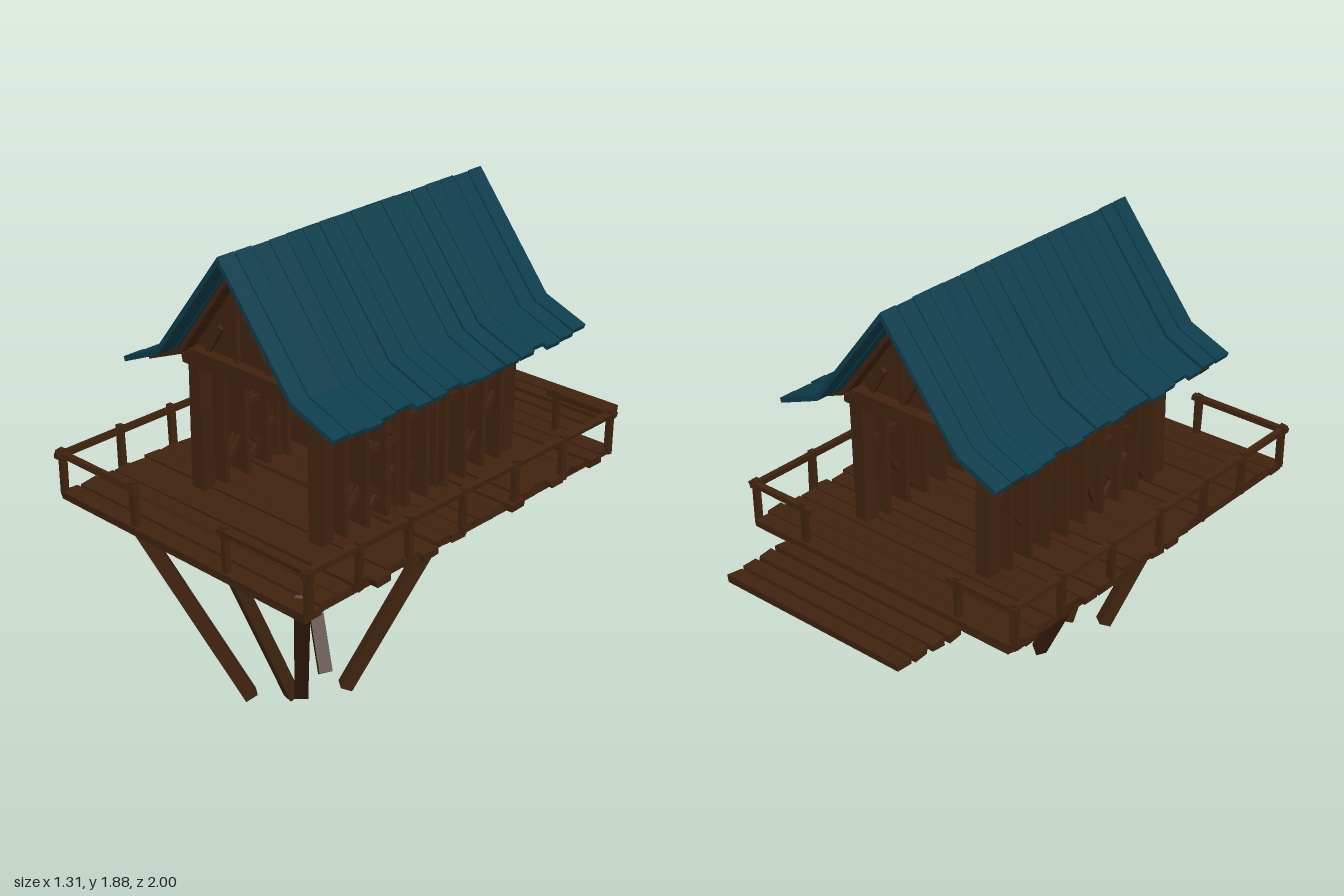
import * as THREE from 'three';

export function createModel() {
  const root = new THREE.Group();
  root.name = 'stiltHut';
  const wood = new THREE.MeshStandardMaterial({ color: 0x40230f });
  wood.name = 'dark brown wood';
  const roofPaint = new THREE.MeshStandardMaterial({ color: 0x0e3d4c });
  roofPaint.name = 'deep teal roof';

  // Seeded wobble for hand-cut boards
  let seed = 11;
  const rnd = (a) => {
    seed = (seed * 16807) % 2147483647;
    return (seed / 2147483647 * 2 - 1) * a;
  };

  const group = (name) => {
    const g = new THREE.Group();
    g.name = name;
    root.add(g);
    return g;
  };

  // Square-cut timber running from a to b; w is across, t is the other thickness
  function beam(parent, name, a, b, w, t, wobble = 0.003) {
    const A = new THREE.Vector3(...a), B = new THREE.Vector3(...b);
    const dir = B.clone().sub(A), len = dir.length();
    dir.normalize();
    const geo = new THREE.BoxGeometry(w, t, len);
    const offsets = Array.from({ length: 8 }, () => [rnd(wobble), rnd(wobble), rnd(wobble)]);
    const p = geo.attributes.position;
    for (let i = 0; i < p.count; i++) {
      const k = (p.getX(i) > 0 ? 1 : 0) + (p.getY(i) > 0 ? 2 : 0) + (p.getZ(i) > 0 ? 4 : 0);
      const o = offsets[k];
      p.setXYZ(i, p.getX(i) + o[0], p.getY(i) + o[1], p.getZ(i) + o[2]);
    }
    geo.computeVertexNormals();
    const m = new THREE.Mesh(geo, wood);
    m.name = name;
    m.position.copy(A).add(B).multiplyScalar(0.5);
    const up = Math.abs(dir.y) > 0.99 ? new THREE.Vector3(0, 0, 1) : new THREE.Vector3(0, 1, 0);
    const xAxis = up.cross(dir).normalize();
    const yAxis = dir.clone().cross(xAxis);
    m.quaternion.setFromRotationMatrix(new THREE.Matrix4().makeBasis(xAxis, yAxis, dir));
    parent.add(m);
    return m;
  }

  // Deck boards, edge joists and the lower step boards behind
  const deck = group('deck');
  for (let i = 0; i < 21; i++) {
    const z = 0.952 - i * 0.0796, y = 0.864 + rnd(0.005);
    beam(deck, 'deckBoard', [-0.63 + rnd(0.015), y, z], [0.635 + rnd(0.018), y + rnd(0.004), z], 0.073, 0.03, 0.004);
  }
  for (const x of [-0.58, -0.3, 0.05, 0.33, 0.57])
    beam(deck, 'joist', [x, 0.84, 0.96], [x, 0.84, -0.64], 0.06, 0.022);
  for (const z of [-0.725, -0.805, -0.885, -0.965])
    beam(deck, 'stepBoard', [-0.42 + rnd(0.008), 0.866, z + rnd(0.004)], [0.43 + rnd(0.01), 0.866, z + rnd(0.006)], 0.064, 0.03, 0.004);

  // Splayed stilts
  const stilts = group('stilts');
  const legs = [
    [[-0.47, 0.86, 0.0], [0.02, 0.04, 0.29]],
    [[-0.30, 0.86, 0.93], [-0.07, 0.05, 0.60]],
    [[-0.026, 0.86, 0.80], [0.055, 0.06, 0.50]],
    [[0.365, 0.86, -0.14], [0.12, 0.02, 0.28]],
    [[0.545, 0.86, 0.92], [0.09, 0.08, 0.49]],
  ];
  for (const [a, b] of legs) beam(stilts, 'stilt', a, b, 0.05, 0.05);

  // Railings: full length on the sides, short returns at front and back
  const railing = group('railing');
  const railPost = (x, z) => beam(railing, 'railPost', [x, 0.86, z], [x + rnd(0.004), 1.045, z], 0.024, 0.024);
  for (const s of [-1, 1]) {
    const x = s * 0.63;
    beam(railing, 'sideRail', [x, 1.024, 1.0], [x, 1.024, -0.67], 0.022, 0.022);
    for (const z of [0.975, 0.72, 0.47, 0.19, -0.1, -0.38, -0.65]) railPost(x, z + (z < 0.9 && z > -0.6 ? s * 0.02 : 0));
    beam(railing, 'frontRail', [s * 0.65, 1.026, 0.978], [s * 0.205, 1.026, 0.978], 0.022, 0.022);
    beam(railing, 'backRail', [s * 0.65, 1.026, -0.655], [s * 0.33, 1.026, -0.655], 0.022, 0.022);
    railPost(s * 0.235, 0.97);
    railPost(s * 0.375, -0.65);
  }

  // House: corner posts, side walls and wall bracing
  const CX = 0.022, ZF = 0.60, ZB = -0.38;
  const house = group('house');
  for (const s of [-1, 1]) {
    const x = CX + s * 0.303;
    for (const z of [ZF, ZB]) beam(house, 'cornerPost', [x, 0.87, z], [x, 1.44, z], 0.062, 0.062, 0.005);
    for (let i = 0; i < 9; i++) {
      const z = 0.53 - i * 0.105;
      beam(house, 'wallBoard', [x, 0.87, z], [x, 1.45, z], 0.106, 0.02, 0.002).scale.set(1, 1, 1);
    }
    beam(house, 'wallPlate', [x, 1.41, 0.66], [x, 1.41, -0.44], 0.05, 0.05);
    // Brace positions as z,y to z,y, on both wall faces
    const braces = [
      [0.42, 0.88, 0.42, 1.39], [0.24, 0.88, 0.24, 1.39], [0.03, 0.88, 0.03, 1.39], [-0.11, 0.88, -0.11, 1.39],
      [0.24, 1.21, -0.36, 1.21], [0.42, 1.15, 0.24, 1.15], [0.41, 1.36, 0.25, 1.17],
      [0.53, 0.89, 0.42, 1.03], [0.41, 0.89, 0.25, 1.04], [0.25, 0.89, 0.41, 1.04],
      [0.23, 0.89, 0.16, 1.03], [-0.35, 1.2, -0.13, 0.92],
    ];
    for (const f of [-1, 1])
      for (const [z1, y1, z2, y2] of braces) {
        const bx = x + f * 0.014;
        const vertical = z1 === z2;
        beam(house, 'wallBrace', [bx, y1, z1], [bx, y2, z2], vertical ? 0.024 : 0.016, vertical ? 0.016 : 0.024, 0.001);
      }
  }

  // Gables with tie beams, framing and rafters
  const gables = group('gables');
  for (const [z, f] of [[ZF, 1], [ZB, -1]]) {
    const tri = new THREE.Shape([[-0.3, 1.42], [0.345, 1.42], [0.335, 1.45], [0.024, 1.855], [-0.28, 1.45]].map((p) => new THREE.Vector2(...p)));
    const wall = new THREE.Mesh(new THREE.ExtrudeGeometry(tri, { depth: 0.02, bevelEnabled: false }), wood);
    wall.name = 'gableWall';
    wall.position.z = z - 0.01;
    gables.add(wall);
    beam(gables, 'tieBeam', [-0.31, 1.412, z + f * 0.02], [0.36, 1.412, z + f * 0.02], 0.07, 0.062);
    for (const side of [-1, 1]) {
      const zz = z + side * 0.016;
      const frame = [
        [-0.06, 1.43, -0.06, 1.72], [0.105, 1.43, 0.105, 1.72], [-0.08, 1.715, 0.125, 1.715],
        [-0.05, 1.7, 0.095, 1.45], [-0.21, 1.44, -0.14, 1.55], [0.255, 1.44, 0.19, 1.55],
      ];
      for (const [x1, y1, x2, y2] of frame)
        beam(gables, 'gableFrame', [x1, y1, zz], [x2, y2, zz], 0.02, 0.022, 0.001);
    }
    for (const s of [-1, 1]) {
      const zr = z + f * 0.05;
      beam(gables, 'rafter', [CX + s * 0.005, 1.85, zr], [CX + s * 0.325, 1.432, zr], 0.05, 0.03);
      beam(gables, 'eaveRafter', [CX + s * 0.31, 1.435, zr], [CX + s * 0.49, 1.365, zr], 0.05, 0.024);
    }
  }

  // Roof boards: each strip runs from the ridge down and kicks out at the eave
  const roof = group('roof');
  for (const s of [-1, 1])
    for (let i = 0; i < 17; i++) {
      const e = rnd(0.012), lift = rnd(0.004), end = s > 0 ? 0.522 : 0.502;
      const pts = [[0, 1.888], [0.333, 1.463], [end + e, 1.388 - e * 0.4],
        [end - 0.006 + e, 1.37 - e * 0.4], [0.325, 1.443], [0, 1.86]];
      const outline = new THREE.Shape(pts.map(([x, y]) => new THREE.Vector2(CX + s * x, y + lift)));
      const geo = new THREE.ExtrudeGeometry(outline, { depth: 0.075, bevelEnabled: false });
      // Skew and taper each strip toward the eave
      const p = geo.attributes.position, skew = rnd(0.008), taper = rnd(0.05);
      for (let k = 0; k < p.count; k++) {
        const d = Math.abs(p.getX(k) - CX) / 0.5;
        p.setZ(k, (p.getZ(k) - 0.0375) * (1 + taper * d) + skew * d);
      }
      geo.computeVertexNormals();
      const strip = new THREE.Mesh(geo, roofPaint);
      strip.name = 'roofBoard';
      strip.position.z = 0.73 - i * 0.0793;
      roof.add(strip);
    }

  return root;
}
